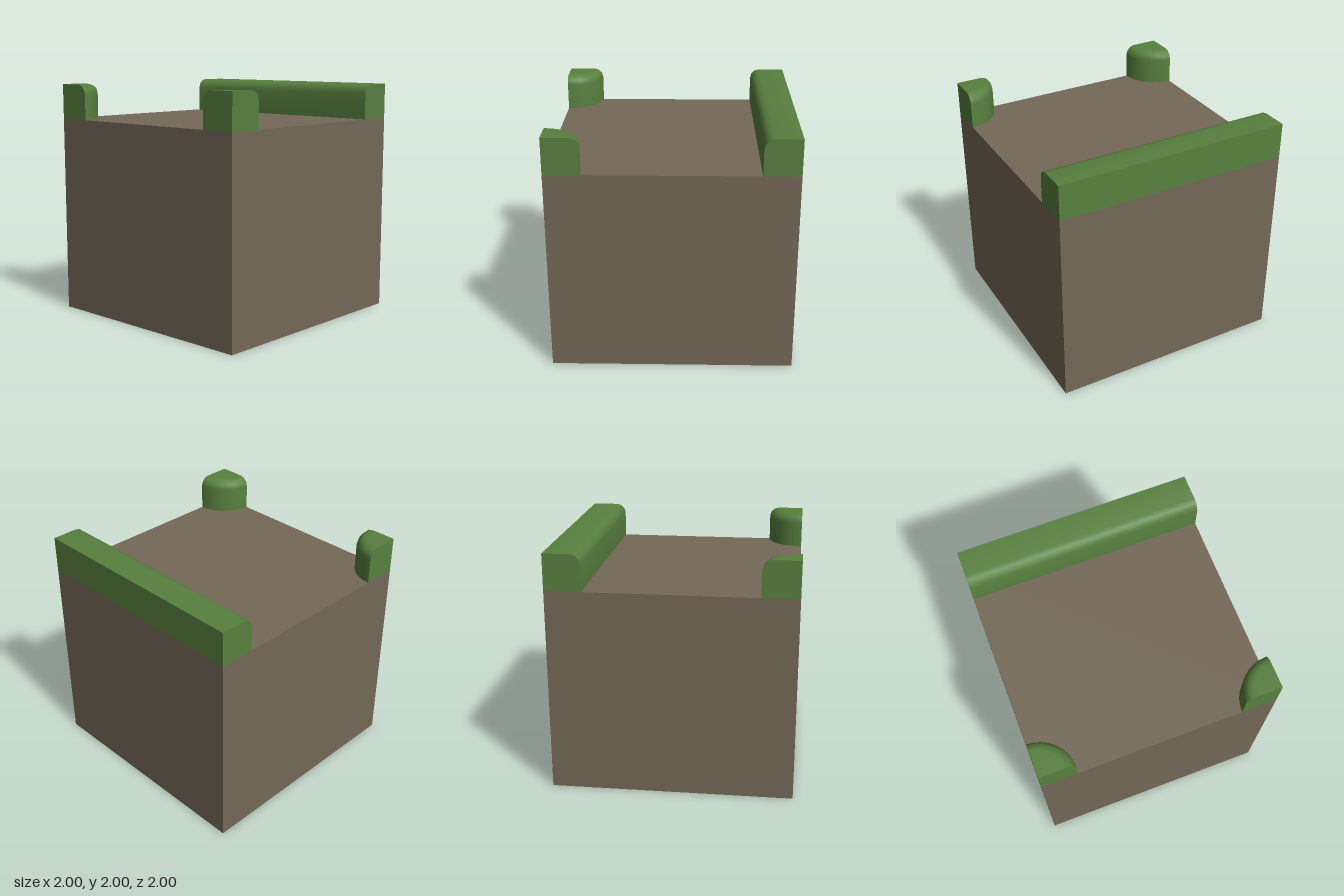
import * as THREE from 'three';
import { toCreasedNormals } from 'three/addons/utils/BufferGeometryUtils.js';

const WIDTH = 0.3, RADIUS = 0.08, TOP = 1.7;

// Rounded edge of the grass, from the foot up to the flat top
function edgePoints() {
  const pts = [new THREE.Vector2(WIDTH, 0)];
  for (let i = 0; i <= 3; i++) {
    const a = (i / 3) * Math.PI / 2;
    pts.push(new THREE.Vector2(
      WIDTH - RADIUS + RADIUS * Math.cos(a),
      WIDTH - RADIUS + RADIUS * Math.sin(a)));
  }
  pts.push(new THREE.Vector2(0, WIDTH));
  return pts;
}

function profileShape(side) {
  const pts = [new THREE.Vector2(0, 0), ...edgePoints()];
  return new THREE.Shape(pts.map(p => new THREE.Vector2(p.x * side, p.y)));
}

export function createModel() {
  const model = new THREE.Group();
  const dirt = new THREE.MeshStandardMaterial({ color: 0x756958 });
  dirt.name = 'dirt brown';
  const grass = new THREE.MeshStandardMaterial({ color: 0x58803f });
  grass.name = 'grass green';

  const add = (parent, name, geometry, material) => {
    const mesh = new THREE.Mesh(geometry, material);
    mesh.name = name;
    parent.add(mesh);
    return mesh;
  };

  // Dirt block
  add(model, 'dirtBlock', new THREE.BoxGeometry(2, TOP, 2), dirt).position.y = TOP / 2;

  // Grass strip along the whole left edge
  const strip = new THREE.ExtrudeGeometry(profileShape(-1), { depth: 2, bevelEnabled: false });
  add(model, 'grassStrip', toCreasedNormals(strip, 0.7), grass).position.set(1, TOP, -1);

  // Quarter-round grass tufts in the two right corners
  const round = new THREE.LatheGeometry(edgePoints(), 8, 0, Math.PI / 2);
  const backWall = new THREE.ShapeGeometry(profileShape(-1)).rotateY(Math.PI);
  const sideWall = new THREE.ShapeGeometry(profileShape(1)).rotateY(-Math.PI / 2);
  for (const [name, z, turn] of [['backCorner', -1, 0], ['frontCorner', 1, Math.PI / 2]]) {
    const corner = new THREE.Group();
    corner.name = name;
    add(corner, name + 'Round', round, grass);
    add(corner, name + 'WallA', backWall, grass);
    add(corner, name + 'WallB', sideWall, grass);
    corner.position.set(-1, TOP, z);
    corner.rotation.y = turn;
    model.add(corner);
  }
  return model;
}
